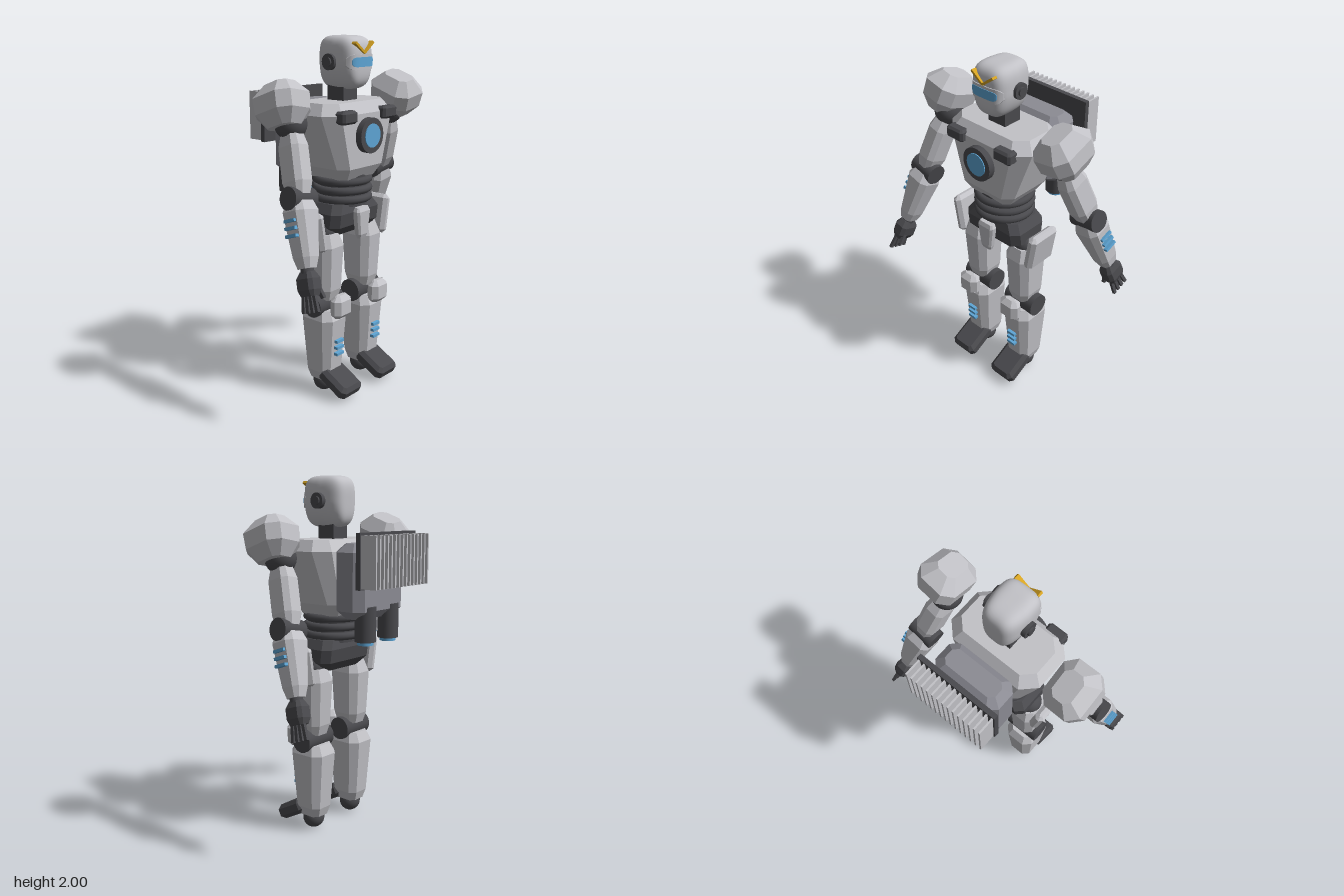
import * as THREE from 'three';

const mat = (name, color) => {
  const m = new THREE.MeshStandardMaterial({ color });
  m.name = name;
  return m;
};
const armor = mat('light armor', 0xc2c2c7);
const dark = mat('dark joints', 0x4a4a4e);
const pack = mat('backpack grey', 0x8c8c94);
const blue = mat('blue glow', 0x5ea6d6);
const gold = mat('gold crest', 0xd6a322);

function add(parent, name, geometry, material, x = 0, y = 0, z = 0) {
  const mesh = new THREE.Mesh(geometry, material);
  mesh.name = name;
  mesh.position.set(x, y, z);
  parent.add(mesh);
  return mesh;
}

// Faceted body lofted through octagons; rows are [y, halfWidth, halfDepth, corner]
function loft(rows) {
  const rings = rows.map(([y, w, d, c]) => [
    [w, d - c], [w - c, d], [c - w, d], [-w, d - c],
    [-w, c - d], [c - w, -d], [w - c, -d], [w, c - d],
  ].map(([x, z]) => [x, y, z]));
  const pos = [];
  const tri = (...pts) => pts.forEach((p) => pos.push(...p));
  const last = rings.length - 1;
  const bottom = [0, rows[0][0], 0], top = [0, rows[last][0], 0];
  for (let i = 0; i < 8; i++) {
    const k = (i + 1) % 8;
    for (let j = 0; j < last; j++) {
      const a = rings[j][i], b = rings[j][k], c = rings[j + 1][k], d = rings[j + 1][i];
      tri(a, d, c);
      tri(a, c, b);
    }
    tri(bottom, rings[0][i], rings[0][k]);
    tri(top, rings[last][k], rings[last][i]);
  }
  const g = new THREE.BufferGeometry();
  g.setAttribute('position', new THREE.Float32BufferAttribute(pos, 3));
  g.computeVertexNormals();
  return g;
}

// Box with every edge cut off
function chamferBox(w, h, d, c) {
  const [x, y, z] = [w / 2, h / 2, d / 2];
  return loft([[-y, x - c, z - c, c * 0.6], [c - y, x, z, c], [y - c, x, z, c], [y, x - c, z - c, c * 0.6]]);
}

const box = (w, h, d) => new THREE.BoxGeometry(w, h, d);
const cyl = (r, h, axis) => {
  const g = new THREE.CylinderGeometry(r, r, h, 32);
  if (axis === 'x') g.rotateZ(Math.PI / 2);
  if (axis === 'z') g.rotateX(Math.PI / 2);
  return g;
};
const ball = (r) => new THREE.SphereGeometry(r, 24, 16);

// Smooth squarish head, narrowing to the chin and the back
function headGeometry() {
  const g = new THREE.SphereGeometry(1, 48, 32);
  const p = g.attributes.position;
  for (let i = 0; i < p.count; i++) {
    const v = new THREE.Vector3().fromBufferAttribute(p, i);
    v.divideScalar((v.x ** 4 + v.y ** 4 + v.z ** 4) ** 0.25);
    const chin = 1 - 0.32 * Math.max(0, -v.y) ** 1.5;
    const back = 1 - 0.18 * Math.max(0, -v.z);
    p.setXYZ(i, v.x * 0.11 * chin * back, v.y * 0.14, v.z * 0.13);
  }
  g.computeVertexNormals();
  return g;
}

// Thin plate bent around the face, with rounded ends
function visorPlate(w, h, t) {
  const g = new THREE.BoxGeometry(w, h, t, 24, 1, 1);
  const p = g.attributes.position;
  for (let i = 0; i < p.count; i++) {
    const x = p.getX(i);
    p.setY(i, p.getY(i) * (1 - 0.55 * (2 * x / w) ** 10));
    p.setZ(i, p.getZ(i) + 0.13 * (1 - (x / 0.11) ** 4) ** 0.25);
  }
  g.computeVertexNormals();
  return g;
}

function makeHead() {
  const head = new THREE.Group();
  head.name = 'head';
  head.position.set(0, 1.86, 0.085);
  add(head, 'skull', headGeometry(), armor);
  add(head, 'visorFrame', visorPlate(0.205, 0.08, 0.009), armor, 0, 0.005, 0);
  add(head, 'visor', visorPlate(0.168, 0.05, 0.009), blue, 0, 0.005, 0.003);
  for (const s of [-1, 1]) {
    add(head, 'ear', cyl(0.043, 0.03, 'x'), dark, s * 0.112, 0.005, -0.008);
    add(head, 'earHub', cyl(0.024, 0.03, 'x'), dark, s * 0.122, 0.005, -0.008);
    const bar = add(head, 'crestBar', box(0.09, 0.013, 0.03), gold, s * 0.036, 0.079, 0.125);
    bar.rotation.z = s * 0.64;
  }
  return head;
}

function makeTorso() {
  const torso = new THREE.Group();
  torso.name = 'torso';
  torso.position.z = 0.07;
  add(torso, 'chest', loft([
    [1.245, 0.14, 0.13, 0.03], [1.31, 0.185, 0.17, 0.05],
    [1.6, 0.285, 0.175, 0.075], [1.66, 0.24, 0.13, 0.06],
  ]), armor);
  add(torso, 'neck', box(0.116, 0.11, 0.11), dark, 0, 1.69, 0);
  // chest lamp and vents
  add(torso, 'lampRing', cyl(0.095, 0.08, 'z'), dark, 0, 1.483, 0.17);
  add(torso, 'lamp', cyl(0.064, 0.02, 'z'), blue, 0, 1.483, 0.205);
  for (const s of [-1, 1]) add(torso, 'vent', chamferBox(0.118, 0.068, 0.07, 0.012), dark, s * 0.168, 1.592, 0.17);
  // ribbed waist
  add(torso, 'waistCore', cyl(0.14, 0.17), dark, 0, 1.175, 0);
  for (const y of [1.228, 1.178, 1.128]) {
    const ring = add(torso, 'waistRing', new THREE.TorusGeometry(0.147, 0.022, 10, 40), dark, 0, y, 0);
    ring.rotation.x = Math.PI / 2;
  }
  // pelvis and hip plates
  add(torso, 'pelvis', loft([
    [0.935, 0.14, 0.08, 0.03], [0.985, 0.2, 0.12, 0.04],
    [1.06, 0.2, 0.13, 0.04], [1.11, 0.165, 0.11, 0.04],
  ]), dark);
  add(torso, 'frontPlate', loft([
    [0.905, 0.03, 0.012, 0.008], [0.93, 0.038, 0.022, 0.01],
    [1.06, 0.056, 0.026, 0.012], [1.082, 0.046, 0.016, 0.008],
  ]), armor, 0, 0, 0.14);
  for (const s of [-1, 1]) {
    const plate = add(torso, 'hipPlate', chamferBox(0.058, 0.225, 0.2, 0.02), armor, s * 0.275, 0.978, 0.01);
    plate.rotation.z = -s * 0.17;
  }
  return torso;
}

function makeBackpack() {
  const g = new THREE.Group();
  g.name = 'backpack';
  add(g, 'packBody', chamferBox(0.41, 0.4, 0.195, 0.045), pack, 0, 1.445, -0.19);
  add(g, 'radiatorPlate', box(0.485, 0.29, 0.027), dark, 0, 1.56, -0.306);
  for (let i = 0; i < 15; i++) {
    add(g, 'radiatorFin', box(0.01, 0.27, 0.1), armor, (i - 7) * 0.0327, 1.557, -0.365);
  }
  for (const s of [-1, 1]) {
    add(g, 'thruster', cyl(0.058, 0.19), dark, s * 0.1, 1.22, -0.245);
    add(g, 'thrusterGlow', cyl(0.044, 0.03), blue, s * 0.1, 1.122, -0.245);
  }
  return g;
}

// Straight arm hanging from the shoulder; the left swings back, the right forward
function makeArm(s) {
  const arm = new THREE.Group();
  arm.name = s > 0 ? 'leftArm' : 'rightArm';
  arm.position.set(s * 0.41, 1.57, 0.075);
  arm.rotation.set(s * 0.34, 0, s * 0.2);
  add(arm, 'shoulderJoint', ball(0.085), dark);
  add(arm, 'shoulderArmor', loft([
    [-0.02, 0.065, 0.085, 0.03], [0.05, 0.115, 0.135, 0.055],
    [0.135, 0.12, 0.14, 0.055], [0.205, 0.06, 0.08, 0.03],
  ]), armor, s * 0.045, 0, 0);
  add(arm, 'upperArm', loft([
    [-0.37, 0.045, 0.055, 0.02], [-0.3, 0.06, 0.073, 0.026],
    [-0.12, 0.06, 0.073, 0.026], [-0.04, 0.045, 0.05, 0.02],
  ]), armor);
  add(arm, 'elbow', cyl(0.06, 0.155, 'x'), dark, 0, -0.385, 0);
  add(arm, 'forearm', loft([
    [-0.735, 0.04, 0.045, 0.018], [-0.68, 0.055, 0.06, 0.024],
    [-0.45, 0.08, 0.077, 0.03], [-0.39, 0.06, 0.055, 0.024],
  ]), armor);
  for (let i = 0; i < 3; i++) {
    add(arm, 'forearmStripe', box(0.025, 0.016, 0.075), blue, s * 0.077, -0.495 - i * 0.038, 0);
  }
  // hand
  add(arm, 'wrist', cyl(0.034, 0.06), dark, 0, -0.74, 0);
  add(arm, 'palm', loft([
    [-0.872, 0.03, 0.047, 0.012], [-0.84, 0.045, 0.058, 0.018],
    [-0.785, 0.046, 0.058, 0.018], [-0.75, 0.03, 0.038, 0.014],
  ]), dark);
  for (let i = 0; i < 4; i++) {
    const finger = add(arm, 'finger', box(0.017, 0.1, 0.019), dark, s * 0.008, -0.905, (i - 1.5) * 0.028);
    finger.rotation.x = -(i - 1.5) * 0.08;
  }
  const thumb = add(arm, 'thumb', box(0.019, 0.06, 0.021), dark, -s * 0.042, -0.86, 0.035);
  thumb.rotation.set(-0.3, 0, -s * 0.2);
  return arm;
}

function makeLeg(s) {
  const leg = new THREE.Group();
  leg.name = s > 0 ? 'leftLeg' : 'rightLeg';
  leg.position.set(s * 0.165, 0, 0.077);
  add(leg, 'hipJoint', ball(0.07), dark, 0, 0.95, 0);
  add(leg, 'thigh', loft([
    [0.57, 0.06, 0.07, 0.025], [0.63, 0.076, 0.088, 0.033],
    [0.88, 0.087, 0.102, 0.038], [0.95, 0.065, 0.075, 0.03],
  ]), armor);
  add(leg, 'knee', cyl(0.066, 0.205, 'x'), dark, 0, 0.54, 0);
  add(leg, 'kneeCap', chamferBox(0.135, 0.135, 0.08, 0.028), armor, 0, 0.545, 0.125);
  add(leg, 'shin', loft([
    [0.085, 0.06, 0.07, 0.025], [0.14, 0.078, 0.088, 0.033],
    [0.46, 0.097, 0.115, 0.042], [0.515, 0.075, 0.085, 0.032],
  ]), armor);
  for (const y of [0.333, 0.295, 0.257]) add(leg, 'shinStripe', box(0.058, 0.016, 0.025), blue, 0, y, 0.112);
  add(leg, 'ankle', ball(0.062), dark, 0, 0.062, 0);
  const foot = add(leg, 'foot', chamferBox(0.172, 0.085, 0.205, 0.022), dark, 0, 0.092, 0.123);
  foot.rotation.x = 0.49;
  return leg;
}

export function createModel() {
  const model = new THREE.Group();
  model.name = 'robot';
  model.add(makeHead(), makeTorso(), makeBackpack());
  for (const s of [-1, 1]) model.add(makeArm(s), makeLeg(s));
  return model;
}
